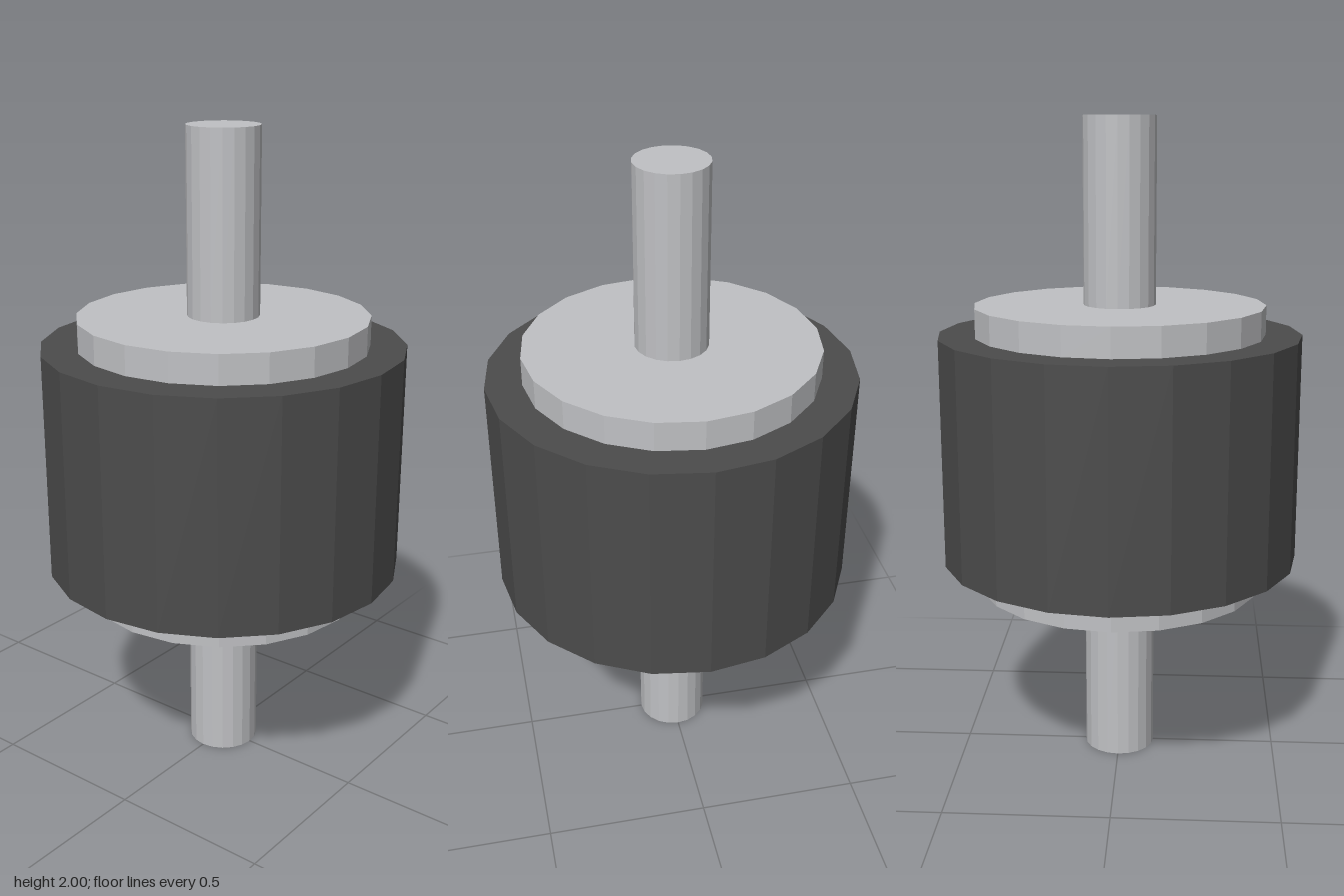
import * as THREE from 'three';

const SIDES = 20;

export function createModel() {
  const model = new THREE.Group();
  model.name = 'roller';

  const steel = new THREE.MeshStandardMaterial({ color: 0xc0c1c4 });
  steel.name = 'steel';
  steel.flatShading = true;
  const rubber = new THREE.MeshStandardMaterial({ color: 0x4c4c4c });
  rubber.name = 'dark rubber';
  rubber.flatShading = true;

  // Upright faceted cylinder spanning bottom to top
  function addCylinder(name, radius, bottom, top, material) {
    const geometry = new THREE.CylinderGeometry(radius, radius, top - bottom, SIDES);
    const mesh = new THREE.Mesh(geometry, material);
    mesh.name = name;
    mesh.position.y = (bottom + top) / 2;
    model.add(mesh);
  }

  // Thick drum around the middle
  addCylinder('drum', 0.555, 0.65, 1.355, rubber);

  // End plates and axle stubs, above and below the drum
  addCylinder('upperPlate', 0.444, 1.355, 1.444, steel);
  addCylinder('lowerPlate', 0.444, 0.56, 0.65, steel);
  addCylinder('upperAxle', 0.11, 1.444, 2, steel);
  addCylinder('lowerAxle', 0.11, 0, 0.56, steel);

  return model;
}
